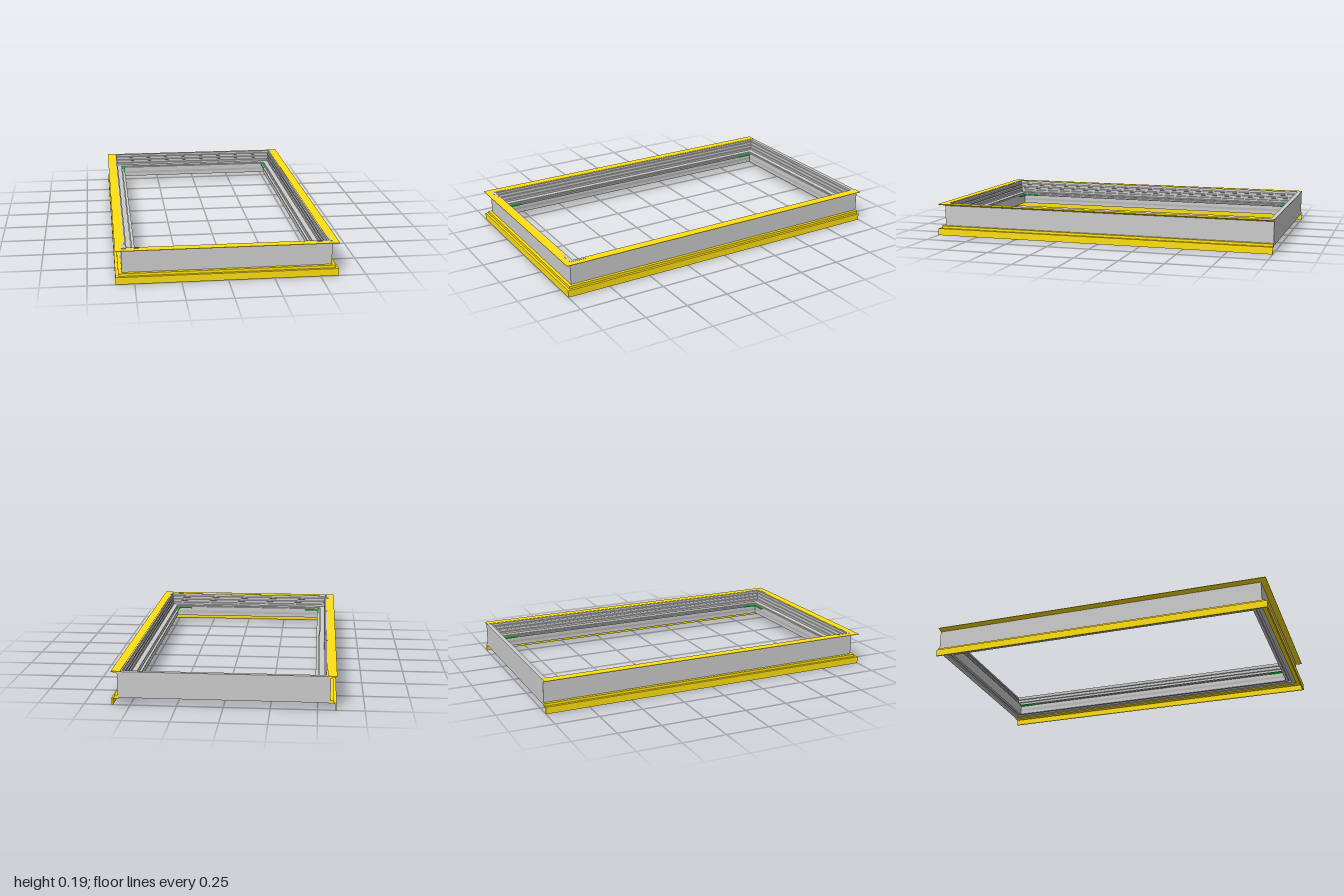
import * as THREE from 'three';

const grey = new THREE.MeshStandardMaterial({ color: 0xcccccc, flatShading: true });
const yellow = new THREE.MeshStandardMaterial({ color: 0xffe010, flatShading: true });
const green = new THREE.MeshStandardMaterial({ color: 0x00ff33, flatShading: true });

// Inner opening: half width, front and back edges, and the overall back plane
const HALF = 0.5, FRONT = 0.9, BACK = -0.933, END = -1;

// Sweep a counter-clockwise [outward offset, height] profile round the opening with mitred corners.
// An open sweep covers left, front and right only, and is capped at the back plane.
function sweep(name, profile, material, closed) {
  const corner = (k, [d, y]) => {
    const x = (k < 2 ? -1 : 1) * (HALF + d);
    const z = k === 1 || k === 2 ? FRONT + d : closed ? BACK - d : END;
    return [x, y, z];
  };
  const pos = [];
  const n = profile.length;
  for (let k = 0; k < (closed ? 4 : 3); k++) {
    for (let i = 0; i < n; i++) {
      const p = profile[i], q = profile[(i + 1) % n], next = (k + 1) % 4;
      const a = corner(k, p), b = corner(k, q), c = corner(next, q), d = corner(next, p);
      pos.push(...a, ...d, ...c, ...a, ...c, ...b);
    }
  }
  if (!closed) {
    const contour = profile.map(([d, y]) => new THREE.Vector2(d, y));
    for (const [a, b, c] of THREE.ShapeUtils.triangulateShape(contour, [])) {
      for (const i of [a, b, c]) pos.push(...corner(0, profile[i]));
      for (const i of [a, c, b]) pos.push(...corner(3, profile[i]));
    }
  }
  const geo = new THREE.BufferGeometry();
  geo.setAttribute('position', new THREE.Float32BufferAttribute(pos, 3));
  geo.computeVertexNormals();
  const mesh = new THREE.Mesh(geo, material);
  mesh.name = name;
  return mesh;
}

// Box given by its minimum and maximum corners
function box(name, [x0, y0, z0], [x1, y1, z1], material) {
  const mesh = new THREE.Mesh(new THREE.BoxGeometry(x1 - x0, y1 - y0, z1 - z0), material);
  mesh.position.set((x0 + x1) / 2, (y0 + y1) / 2, (z0 + z1) / 2);
  mesh.name = name;
  return mesh;
}

export function createModel() {
  const model = new THREE.Group();
  model.name = 'windowFrame';

  // Grey frame: grooved underside, plain outer wall, ridged and stepped inner wall
  model.add(sweep('frame', [
    [0.003, 0.04], [0.02, 0.04], [0.02, 0.05], [0.035, 0.05], [0.035, 0.04], [0.067, 0.04],
    [0.067, 0.185], [0.042, 0.185], [0.042, 0.172], [0.036, 0.17], [0.036, 0.163],
    [0.041, 0.161], [0.041, 0.15], [0.035, 0.148], [0.035, 0.141], [0.04, 0.139],
    [0.04, 0.128], [0.034, 0.126], [0.034, 0.114], [0.006, 0.112], [0.006, 0.106],
    [0, 0.104], [0, 0.075], [0.003, 0.06],
  ], grey, true));

  // Thin top flange with a sloping underside
  model.add(sweep('topFlange', [
    [0.05, 0.175], [0.067, 0.175], [0.1, 0.184], [0.1, 0.187], [0.05, 0.187],
  ], yellow, false));

  // Stepped lower trim with a hanging outer lip
  model.add(sweep('lowerTrim', [
    [0.06, 0.034], [0.092, 0.034], [0.092, 0], [0.1, 0], [0.1, 0.04],
    [0.085, 0.04], [0.085, 0.055], [0.06, 0.055],
  ], yellow, false));

  for (const s of [-1, 1]) {
    const side = new THREE.Group();
    side.name = s > 0 ? 'leftFittings' : 'rightFittings';
    const add = (name, x0, x1, y0, y1, z0, z1, mat) => side.add(
      box(name, [Math.min(s * x0, s * x1), y0, z0], [Math.max(s * x0, s * x1), y1, z1], mat));
    // Inner seal strip along the side and its green end blocks
    add('sealStrip', 0.486, 0.502, 0.095, 0.099, -0.83, 0.8, grey);
    add('backBlock', 0.486, 0.502, 0.094, 0.1, BACK, -0.83, green);
    add('frontBlock', 0.486, 0.502, 0.094, 0.1, 0.8, FRONT, green);
    add('frontCrossBlock', 0.4, 0.486, 0.094, 0.1, 0.887, 0.902, green);
    // Angle plates on the front corners of the flange
    add('cornerPlateSide', 0.551, 0.565, 0.186, 0.188, 0.87, 0.965, grey);
    add('cornerPlateFront', 0.47, 0.551, 0.186, 0.188, 0.953, 0.965, grey);
    model.add(side);
  }
  return model;
}
